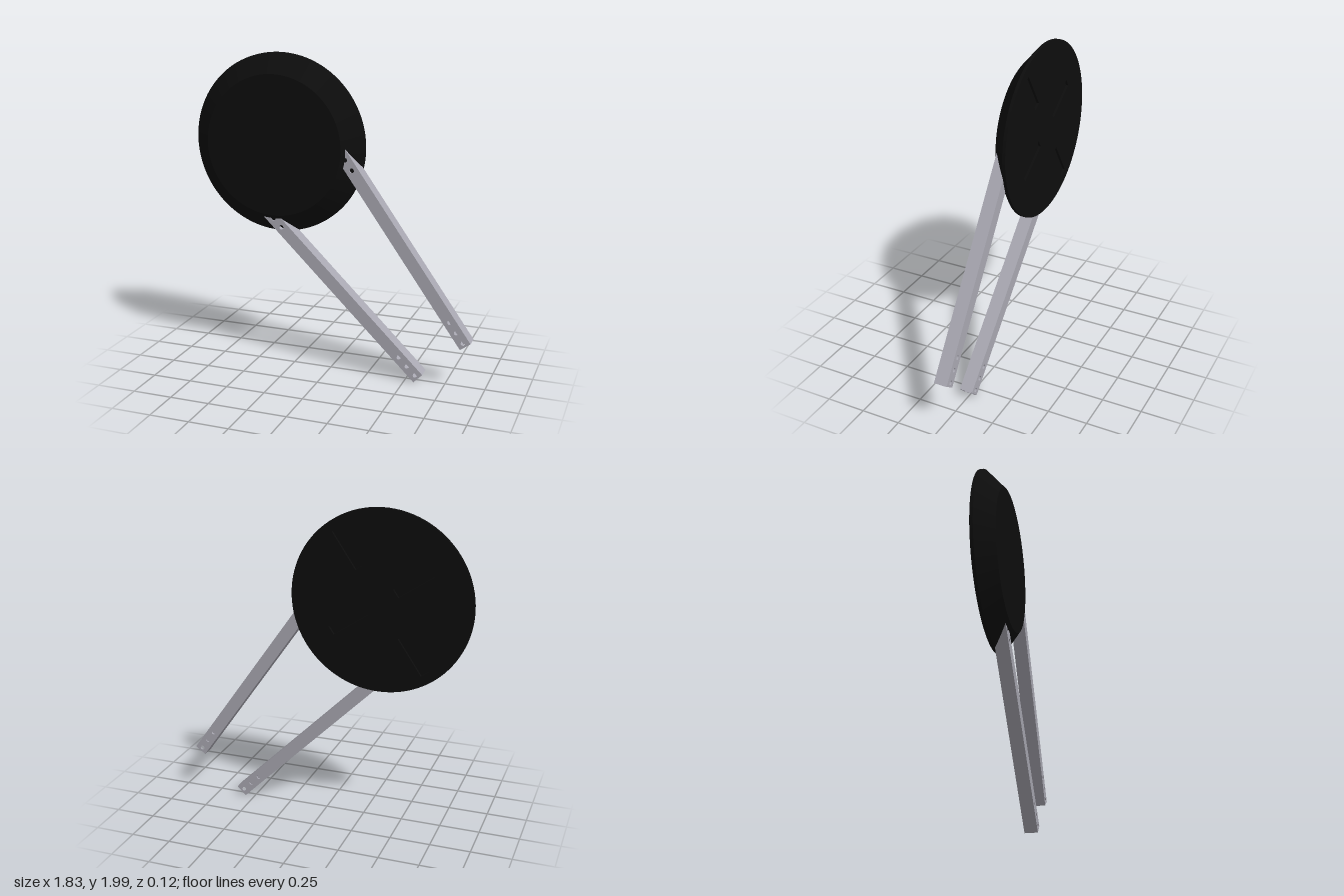
import * as THREE from 'three';
import { toCreasedNormals } from 'three/addons/utils/BufferGeometryUtils.js';

const black = new THREE.MeshStandardMaterial({ color: 0x0d0d0d });
black.name = 'matte black';
const metal = new THREE.MeshStandardMaterial({ color: 0xaaa9b3 });
metal.name = 'grey metal';

function addMesh(parent, name, geometry, material, x = 0, y = 0, z = 0) {
  const mesh = new THREE.Mesh(geometry, material);
  mesh.name = name;
  mesh.position.set(x, y, z);
  parent.add(mesh);
  return mesh;
}

// Round body: a bevelled front and a flat back plate with four radial slots
function makeDisc() {
  const disc = new THREE.Group();
  disc.name = 'disc';
  const radius = 0.56, plateFront = -0.045;
  const profile = [[0, plateFront], [radius, plateFront], [radius, -0.04], [0.44, 0.065], [0, 0.065]]
    .map(([r, h]) => new THREE.Vector2(r, h));
  const body = toCreasedNormals(new THREE.LatheGeometry(profile, 96), 0.4);
  body.rotateX(Math.PI / 2);
  addMesh(disc, 'bevelledFront', body, black);

  const plate = new THREE.Shape().absarc(0, 0, radius, 0, Math.PI * 2);
  for (let i = 0; i < 4; i++) {
    const angle = THREE.MathUtils.degToRad(56 + 90 * i);
    const mid = i % 2 ? 0.24 : 0.37;
    const corners = [[-1, -1], [-1, 1], [1, 1], [1, -1]].map(([a, b]) =>
      new THREE.Vector2(mid + a * 0.13, b * 0.028).rotateAround(new THREE.Vector2(), angle));
    plate.holes.push(new THREE.Path(corners));
  }
  const back = new THREE.ExtrudeGeometry(plate, { depth: 0.015, bevelEnabled: false, curveSegments: 96 });
  addMesh(disc, 'slottedBackPlate', toCreasedNormals(back, 0.4), black, 0, 0, -0.06);
  return disc;
}

// Hollow square leg running along +x from its open foot, drilled at both ends
function makeLeg(name) {
  const leg = new THREE.Group();
  leg.name = name;
  const length = 1.44, width = 0.079, depth = 0.085, wall = 0.009;
  const face = new THREE.Shape([
    new THREE.Vector2(0, -width / 2), new THREE.Vector2(length, -width / 2),
    new THREE.Vector2(length, width / 2), new THREE.Vector2(0, width / 2),
  ]);
  for (let i = 0; i < 3; i++) {
    const offset = 0.026 + i * 0.075;
    for (const x of [offset, length - offset]) {
      face.holes.push(new THREE.Path().absarc(x, 0, 0.014, 0, Math.PI * 2, true));
    }
  }
  const faceGeometry = toCreasedNormals(
    new THREE.ExtrudeGeometry(face, { depth: wall, bevelEnabled: false, curveSegments: 20 }), 0.5);
  addMesh(leg, 'drilledFrontWall', faceGeometry, metal, 0, 0, depth / 2 - wall);
  addMesh(leg, 'drilledBackWall', faceGeometry, metal, 0, 0, -depth / 2);
  const side = new THREE.BoxGeometry(length, wall, depth - 2 * wall);
  for (const s of [-1, 1]) {
    addMesh(leg, 'sideWall', side, metal, length / 2, s * (width - wall) / 2, 0);
  }
  return leg;
}

export function createModel() {
  const model = new THREE.Group();
  model.name = 'discOnLegs';

  const disc = makeDisc();
  disc.position.set(-0.355, 1.44, 0);
  model.add(disc);

  // Foot centre and direction of each leg
  const legs = [
    ['upperLeg', 0.878, 0.288, -0.577, 0.817],
    ['lowerLeg', 0.588, 0.037, -0.713, 0.701],
  ];
  for (const [name, x, y, dx, dy] of legs) {
    const leg = makeLeg(name);
    leg.position.set(x, y, 0.003);
    leg.rotation.z = Math.atan2(dy, dx);
    model.add(leg);
  }
  return model;
}
